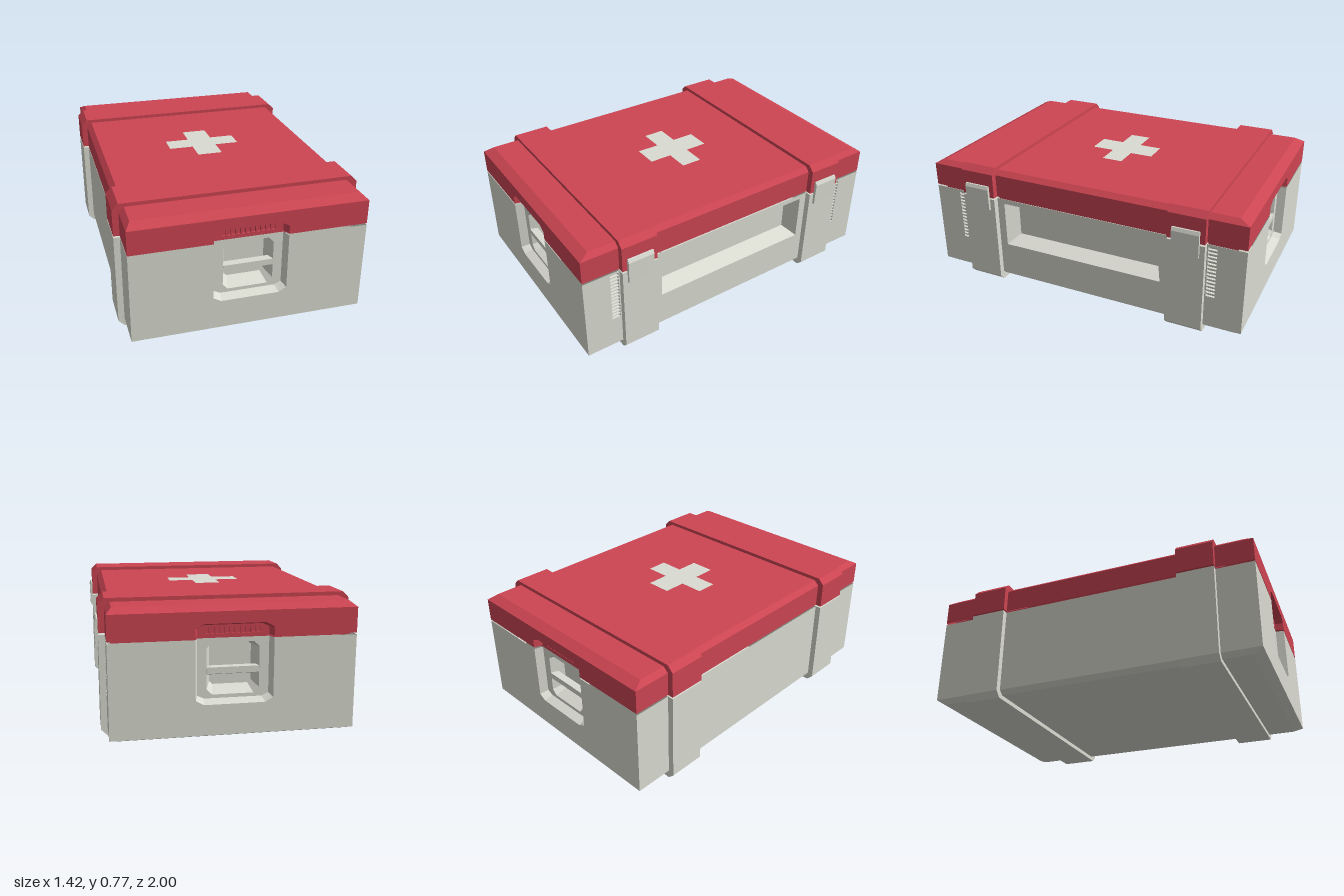
import * as THREE from 'three';

const mat = (color) => new THREE.MeshStandardMaterial({ color, side: THREE.DoubleSide });
const V = (list) => list.map(([x, y]) => new THREE.Vector2(x, y));
const W = 0.665, SEAM = 0.57, LID = 0.58;

function add(parent, name, geometry, material) {
  const mesh = new THREE.Mesh(geometry, material);
  mesh.name = name;
  parent.add(mesh);
  return mesh;
}

// Flat-shaded band of quads between two rings of 3D points
function loft(a, b, closed = true) {
  const pos = [];
  const n = a.length;
  for (let i = 0; i < (closed ? n : n - 1); i++) {
    const j = (i + 1) % n;
    pos.push(...a[i], ...a[j], ...b[j], ...a[i], ...b[j], ...b[i]);
  }
  const g = new THREE.BufferGeometry();
  g.setAttribute('position', new THREE.Float32BufferAttribute(pos, 3));
  g.computeVertexNormals();
  return g;
}

const at = (list, w) => list.map(([x, y]) => [x, y, w]);
const rect = (x0, x1, y0, y1) => [[x0, y0], [x1, y0], [x1, y1], [x0, y1]];
const ring = (hx, hz, y) => [[-hx, y, hz], [hx, y, hz], [hx, y, -hz], [-hx, y, -hz]];
const octagon = (hx, y0, y1, c) => [[-hx + c, y0], [hx - c, y0], [hx, y0 + c], [hx, y1 - c],
  [hx - c, y1], [-hx + c, y1], [-hx, y1 - c], [-hx, y0 + c]];

// Flat face with holes, at depth w of its side of the case
function panel(parent, name, outline, holes, w, material) {
  const shape = new THREE.Shape(V(outline));
  holes.forEach((h) => shape.holes.push(new THREE.Path(V(h))));
  add(parent, name, new THREE.ShapeGeometry(shape), material).position.z = w;
}

// Sloping walls and floor of a closed hollow
function recess(parent, name, outer, inner, w0, w1, material) {
  add(parent, name + 'Walls', loft(at(outer, w0), at(inner, w1)), material);
  panel(parent, name + 'Floor', inner, [], w1, material);
}

// One side of the case: a group whose local z points outward
function side(parent, name, angle, distance) {
  const g = new THREE.Group();
  g.name = name;
  g.rotation.y = angle;
  g.position.set(Math.sin(angle) * distance, 0, Math.cos(angle) * distance);
  parent.add(g);
  return g;
}

// End wall with the sunken handle well that runs up into the lid
function buildEnd(parent, name, angle, cream, red) {
  const g = side(parent, name, angle, 1);
  const D = -0.05;
  const well = (hx, top, chamferY, bottom, flat) => [[-hx, top], [-hx, chamferY], [-flat, bottom],
    [flat, bottom], [hx, chamferY], [hx, top]];

  const bodyOut = well(0.21, SEAM, 0.245, 0.22, 0.165);
  const bodyIn = well(0.195, SEAM, 0.258, 0.24, 0.158);
  panel(g, 'bodyEnd', [[-W, 0.05], [W, 0.05], [W, SEAM], ...[...bodyOut].reverse(), [-W, SEAM]], [], 0, cream);
  add(g, 'handleWellWalls', loft(at(bodyOut, 0), at(bodyIn, D), false), cream);
  const grip = octagon(0.143, 0.26, 0.545, 0.03);
  panel(g, 'handleWellFloor', bodyIn, [grip], D, cream);
  recess(g, 'gripHollow', grip, octagon(0.115, 0.295, 0.53, 0.018), D, -0.13, cream);

  // Grip bar
  const bar = new THREE.ExtrudeGeometry(
    new THREE.Shape(V([[-0.05, 0.41], [-0.095, 0.41], [-0.095, 0.36], [-0.05, 0.375]])),
    { depth: 0.284, bevelEnabled: false });
  bar.rotateY(-Math.PI / 2).translate(0.142, 0, 0.002);
  add(g, 'gripBar', bar, cream);

  // Lid part of the well, with its row of slots
  const lidOut = well(0.21, LID, 0.63, 0.655, 0.165);
  const lidIn = well(0.195, LID, 0.622, 0.64, 0.158);
  panel(g, 'lidEnd', [[-W, LID], ...lidOut, [W, LID], [W, 0.72], [-W, 0.72]], [], 0, red);
  add(g, 'lidWellWalls', loft(at(lidOut, 0), at(lidIn, D), false), red);
  const slots = [];
  for (let i = -5; i <= 5; i++) slots.push(rect(i * 0.028 - 0.009, i * 0.028 + 0.009, 0.592, 0.627));
  panel(g, 'lidWellFloor', lidIn, slots, D, red);
  slots.forEach((s) => recess(g, 'lidSlot', s, s, D, D - 0.012, red));
}

export function createModel() {
  const cream = mat(0xdadbd1), red = mat(0xcc4552);
  const root = new THREE.Group();
  root.name = 'firstAidCase';
  const box = new THREE.Group();
  box.name = 'case';
  box.position.x = -0.01;
  root.add(box);

  buildEnd(box, 'frontEnd', 0, cream, red);
  buildEnd(box, 'backEnd', Math.PI, cream, red);

  // Long sides: the left one carries a sunken label field and ribbed grips
  const left = side(box, 'leftSide', Math.PI / 2, W);
  const right = side(box, 'rightSide', -Math.PI / 2, W);
  const field = rect(-0.51, 0.51, 0.26, 0.54);
  const grooves = [];
  for (const s of [-1, 1]) {
    for (let i = 0; i < 14; i++) {
      const y = 0.242 + i * 0.0228;
      grooves.push([rect(s * 0.81 - 0.026, s * 0.81 + 0.026, y, y + 0.017),
        rect(s * 0.81 - 0.022, s * 0.81 + 0.022, y + 0.001, y + 0.004)]);
    }
  }
  const wall = rect(-1, 1, 0.05, SEAM);
  panel(left, 'bodySide', wall, [field, ...grooves.map((p) => p[0])], 0, cream);
  recess(left, 'sideField', field, rect(-0.465, 0.465, 0.302, 0.527), 0, -0.09, cream);
  grooves.forEach(([o, i]) => recess(left, 'gripGroove', o, i, 0, -0.015, cream));
  panel(right, 'bodySide', wall, [], 0, cream);
  for (const s of [left, right]) panel(s, 'lidSide', rect(-1, 1, LID, 0.72), [], 0, red);

  // Bevelled bottom and lid top
  add(box, 'bottomBevel', loft(ring(W - 0.03, 0.94, 0.025), ring(W, 1, 0.05)), cream);
  add(box, 'bottom', new THREE.PlaneGeometry(2 * W - 0.06, 1.88).rotateX(Math.PI / 2), cream).position.y = 0.025;
  add(box, 'lidBevel', loft(ring(W, 1, 0.72), ring(W - 0.03, 0.94, 0.747)), red);
  add(box, 'lidTop', new THREE.PlaneGeometry(2 * W - 0.06, 1.88).rotateX(-Math.PI / 2), red).position.y = 0.747;

  // Lip inside the seam
  add(box, 'seamLip', new THREE.BoxGeometry(1.29, 0.03, 1.89), red).position.y = 0.575;

  // Cross marking on the lid
  const a = 0.075, b = 0.063, L = 0.22, H = 0.2;
  const cross = new THREE.ShapeGeometry(new THREE.Shape(V([[-a, -H], [a, -H], [a, -b], [L, -b], [L, b], [a, b],
    [a, H], [-a, H], [-a, b], [-L, b], [-L, -b], [-a, -b]])));
  add(box, 'crossMarking', cross.rotateX(-Math.PI / 2), cream).position.y = 0.75;

  // Reinforcing bands with a latch on each
  const slab = (points, depth) => new THREE.ExtrudeGeometry(new THREE.Shape(V(points)),
    { depth, bevelEnabled: false }).translate(0, 0, -depth / 2);
  const B = 0.7, c = 0.035;
  for (const z of [-0.667, 0.667]) {
    const band = new THREE.Group();
    band.name = 'band';
    band.position.z = z;
    box.add(band);
    add(band, 'lowerBand', slab([[-B, SEAM], [-B, c], [-B + c, 0], [B - c, 0], [B, c], [B, SEAM]], 0.22), cream);
    add(band, 'upperBand', slab([[-B, LID], [B, LID], [B, 0.733], [B - c, 0.768], [-B + c, 0.768], [-B, 0.733]], 0.22), red);
    add(band, 'latch', slab([[B - 0.02, 0.5], [B + 0.015, 0.5], [B + 0.017, 0.635], [B + 0.009, 0.655],
      [B - 0.02, 0.655]], 0.16), cream);
  }
  return root;
}
